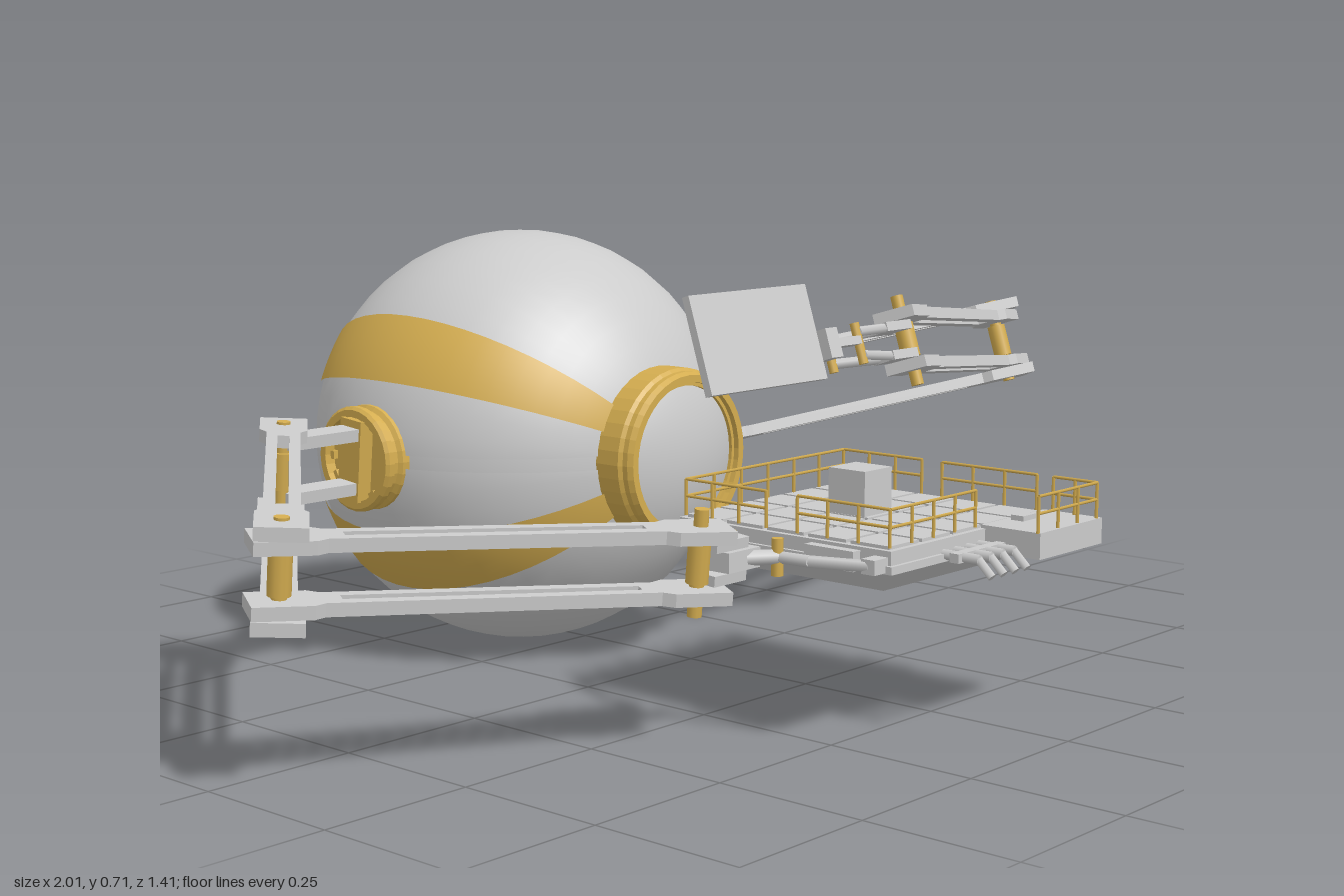
import * as THREE from 'three';

const grey = new THREE.MeshStandardMaterial({ color: 0xcccccc });
const gold = new THREE.MeshStandardMaterial({ color: 0xd4ad50 });
const V = (x, y, z) => new THREE.Vector3(x, y, z);
const R = 0.357, CX = -0.05, CY = 0.36, CZ = -0.353;

function add(parent, name, geo, mat, x = 0, y = 0, z = 0) {
  const m = new THREE.Mesh(geo, mat);
  m.name = name;
  m.position.set(x, y, z);
  parent.add(m);
  return m;
}
const box = (parent, name, mat, w, h, d, x, y, z) =>
  add(parent, name, new THREE.BoxGeometry(w, h, d), mat, x, y, z);

// round rod between two points
function rod(parent, name, mat, a, b, r, sides = 6) {
  const d = b.clone().sub(a);
  const m = add(parent, name, new THREE.CylinderGeometry(r, r, d.length(), sides), mat);
  m.position.copy(a).addScaledVector(d, 0.5);
  m.quaternion.setFromUnitVectors(V(0, 1, 0), d.normalize());
  return m;
}

// sphere wedge whose poles lie on the z axis
const wedge = (r, a0, a1, t0, t1, n) => new THREE.SphereGeometry(
  r, n, 24, a0, a1 - a0, t0, t1 - t0).rotateX(Math.PI / 2);

function makeHull() {
  const g = new THREE.Group();
  g.name = 'sphericalHull';
  g.position.set(CX, CY, CZ);
  // two half shells with a narrow seam between them
  for (const s of [1, -1]) {
    const geo = wedge(R, s > 0 ? Math.PI : 0, s > 0 ? 2 * Math.PI : Math.PI, 0, Math.PI, 24);
    const p = geo.attributes.position;
    for (let i = 0; i < p.count; i++) if (p.getY(i) * s < 0.011) p.setY(i, 0.011 * s);
    add(g, 'halfShell', geo, grey);
  }
  add(g, 'seamCore', wedge(R * 0.98, 0, 2 * Math.PI, 0, Math.PI, 48), grey);
  // tapering gold stripes
  const deg = Math.PI / 180;
  for (const c of [30, 150, 210, 330])
    add(g, 'goldStripe', wedge(R + 0.004, (c - 9.5) * deg, (c + 9.5) * deg, 0.3, 169.5 * deg, 8), gold);
  // front docking collar
  const flat = (pts, n) => {
    const geo = new THREE.LatheGeometry(pts.map(p => new THREE.Vector2(p[0], p[1])), n).toNonIndexed();
    geo.computeVertexNormals();
    return geo.rotateX(Math.PI / 2);
  };
  add(g, 'dockingCollar', flat([[0.13, 0.31], [0.146, 0.322], [0.146, 0.37], [0.141, 0.376],
    [0.141, 0.386], [0.136, 0.395], [0.124, 0.395], [0.124, 0.385], [0.118, 0.385], [0.118, 0.37]], 40), gold);
  add(g, 'dockingHatch', new THREE.SphereGeometry(0.3, 32, 6, 0, Math.PI * 2, 0, 0.41)
    .rotateX(Math.PI / 2), grey, 0, 0, 0.103);
  // shoulder sockets on both sides
  for (const s of [1, -1]) {
    const socket = flat([[0.087, 0.315], [0.087, 0.352], [0.08, 0.357], [0.08, 0.367], [0.087, 0.37],
      [0.087, 0.38], [0.082, 0.385], [0.07, 0.385], [0.07, 0.366], [0, 0.366]], 28);
    add(g, 'shoulderSocket', socket.rotateY(s * Math.PI / 2), gold);
    for (let i = 0; i < 12; i++) {
      const a = i * Math.PI / 6;
      const b = box(g, 'socketTooth', gold, 0.012, 0.014, 0.008,
        s * 0.369, 0.064 * Math.sin(a), 0.064 * Math.cos(a));
      b.rotation.x = -a;
    }
  }
  return g;
}

// slotted beam with widened lugs, lying flat from p to q ([x, z]) at height y
function beam(parent, name, p, q, y) {
  const dx = q[0] - p[0], dz = q[1] - p[1], L = Math.hypot(dx, dz);
  const w = 0.026, W = 0.037, e = 0.043, n = 0.06;
  const half = [[-e, W], [e, W], [n, w], [L - n, w], [L - e, W], [L + e, W]];
  const outline = [...half, ...half.map(([x, v]) => [x, -v]).reverse()];
  const shape = new THREE.Shape(outline.map(([x, v]) => new THREE.Vector2(x, v)));
  const slot = [[0.085, -0.009], [L - 0.085, -0.009], [L - 0.085, 0.009], [0.085, 0.009]];
  shape.holes.push(new THREE.Path(slot.map(([x, v]) => new THREE.Vector2(x, v))));
  const geo = new THREE.ExtrudeGeometry(shape, { depth: 0.02, bevelEnabled: false });
  geo.translate(0, 0, -0.01).rotateX(-Math.PI / 2).rotateY(-Math.atan2(dz, dx));
  add(parent, name, geo, grey, p[0], y, p[1]);
}

// jointed arm working in a tilted plane; joints are [x, z] in that plane
function makeArm(name, side, tilt, elbow, knee, wrist) {
  const g = new THREE.Group();
  g.name = name;
  g.position.set(0, CY, CZ);
  g.rotation.x = tilt;
  const inner = CX + side * 0.36, mid = (inner + elbow[0]) / 2;
  box(g, 'shoulderPivot', gold, 0.035, 0.135, 0.05, CX + side * 0.375, 0, 0);
  for (const s of [1, -1]) {
    box(g, 'shoulderPlate', grey, Math.abs(elbow[0] - inner), 0.02, 0.042, mid, s * 0.045, 0);
    beam(g, 'upperArmBeam', elbow, knee, s * 0.066);
    beam(g, 'forearmBeam', knee, wrist, s * 0.045);
    box(g, 'wristPlate', grey, 0.07, 0.016, 0.05, wrist[0] - side * 0.045, s * 0.025, wrist[1]);
  }
  for (const [x, z] of [elbow, knee, wrist]) {
    rod(g, 'jointPin', gold, V(x, -0.08, z), V(x, 0.08, z), 0.011, 12);
    rod(g, 'jointSpacer', gold, V(x, -0.03, z), V(x, 0.03, z), 0.017, 12);
  }
  return g;
}

function addPanelTool(arm, wrist) {
  const [x, z] = wrist;
  for (const s of [1, -1]) {
    rod(arm, 'panelLink', grey, V(x - 0.06, s * 0.025, z + 0.01), V(0.2, s * 0.02, z + 0.045), 0.009);
    rod(arm, 'panelLink', grey, V(x - 0.06, s * 0.025, z - 0.01), V(0.2, s * 0.02, z - 0.025), 0.009);
    box(arm, 'panelClamp', grey, 0.09, 0.014, 0.022, 0.15, 0.005, z + 0.01 + s * 0.033);
    rod(arm, 'clampPin', gold, V(0.2, -0.035, z + 0.01 + s * 0.033), V(0.2, 0.035, z + 0.01 + s * 0.033), 0.008, 8);
  }
  box(arm, 'clampBridge', grey, 0.03, 0.05, 0.09, 0.115, 0.005, z + 0.015);
  box(arm, 'panel', grey, 0.287, 0.16, 0.014, -0.044, 0.03, 0.57);
  box(arm, 'panelBacking', grey, 0.25, 0.125, 0.01, -0.044, 0.03, 0.56);
}

function makePlatform() {
  const g = new THREE.Group();
  g.name = 'workPlatform';
  const x0 = -0.25, x1 = 0.15, z0 = 0.2, z1 = 0.605, cx = -0.05, cz = 0.4025, top = 0.312;
  box(g, 'deckSlab', grey, 0.4, 0.022, z1 - z0, cx, top - 0.015, cz);
  box(g, 'deckRim', grey, 0.412, 0.012, z1 - z0 + 0.012, cx, 0.281, cz);
  // tapered underside
  const under = new THREE.BoxGeometry(0.4, 0.04, z1 - z0);
  const p = under.attributes.position;
  for (let i = 0; i < p.count; i++)
    if (p.getY(i) < 0) p.setXYZ(i, p.getX(i) * 0.76, p.getY(i), p.getZ(i) * 0.76);
  under.computeVertexNormals();
  add(g, 'taperedUnderside', under, grey, cx, 0.256, cz);
  // deck tiles
  const nx = 5, nz = 5, tx = 0.39 / nx, tz = 0.395 / nz;
  for (let i = 0; i < nx; i++) for (let j = 0; j < nz; j++)
    box(g, 'deckTile', grey, tx - 0.008, 0.006, tz - 0.008,
      x0 + 0.005 + tx * (i + 0.5), top - 0.002, z0 + 0.005 + tz * (j + 0.5));
  box(g, 'cabin', grey, 0.068, 0.072, 0.07, -0.05, 0.347, 0.395);
  // front extension with hatch and fork
  box(g, 'frontExtension', grey, 0.17, 0.04, 0.105, 0.07, 0.293, 0.65);
  box(g, 'extensionHatch', grey, 0.035, 0.008, 0.022, 0.065, 0.317, 0.62);
  for (let i = 0; i < 4; i++) {
    const x = -0.122 + i * 0.03;
    rod(g, 'forkTine', grey, V(x, 0.285, 0.6), V(x, 0.285, 0.67), 0.008);
    rod(g, 'forkTip', grey, V(x, 0.285, 0.668), V(x, 0.262, 0.692), 0.007);
  }
  box(g, 'forkBar', grey, 0.12, 0.014, 0.016, -0.077, 0.285, 0.635);
  for (const x of [x0 - 0.006, x1 + 0.006])
    box(g, 'sideBumper', grey, 0.022, 0.03, 0.09, x, 0.288, 0.505);
  // guard rails: each run is [xa, za, xb, zb, bays]
  const runs = [[x1, 0.21, x1, 0.37, 3], [x1, 0.41, x1, 0.59, 3], [x0, 0.21, x0, 0.37, 3],
    [x0, 0.43, x0, 0.6, 3], [x0, 0.21, x1, 0.21, 6], [x0, 0.6, -0.03, 0.6, 4],
    [0.15, 0.62, 0.15, 0.698, 2], [-0.01, 0.698, 0.15, 0.698, 3]];
  for (const [xa, za, xb, zb, n] of runs) {
    const inset = x => x + Math.sign(cx - x) * 0.004;
    const a = V(inset(xa), top, za), b = V(inset(xb), top, zb);
    for (let i = 0; i <= n; i++) {
      const q = a.clone().lerp(b, i / n);
      rod(g, 'railPost', gold, q, q.clone().setY(0.368), 0.0028, 5);
    }
    for (const y of [0.342, 0.368])
      rod(g, 'guardRail', gold, a.clone().setY(y), b.clone().setY(y), 0.0025, 5);
  }
  // yoke joining the platform to the arm
  for (const s of [1, -1]) {
    const bend = V(-0.305, 0.288, 0.4 + s * 0.1), end = V(-0.275, 0.288, 0.4 + s * 0.185);
    rod(g, 'yokeArm', grey, V(-0.35, 0.288, 0.395 + s * 0.02), V(-0.31, 0.288, 0.4 + s * 0.045), 0.012);
    rod(g, 'yokeArm', grey, V(-0.31, 0.288, 0.4 + s * 0.045), bend, 0.009);
    rod(g, 'yokeArm', grey, bend, end, 0.009);
    box(g, 'yokeFoot', grey, 0.04, 0.022, 0.024, -0.262, 0.288, 0.4 + s * 0.188);
    rod(g, 'yokePin', gold, V(-0.31, 0.26, 0.4 + s * 0.045), V(-0.31, 0.316, 0.4 + s * 0.045), 0.009, 8);
  }
  box(g, 'yokeBlock', grey, 0.07, 0.03, 0.06, -0.36, 0.288, 0.395);
  return g;
}

export function createModel() {
  const model = new THREE.Group();
  model.name = 'workPod';
  model.add(makeHull());
  const wrist = [0.39, 0.536];
  const leftArm = makeArm('leftArm', 1, -0.314, [0.475, -0.015], [0.95, 0.34], wrist);
  addPanelTool(leftArm, wrist);
  model.add(leftArm);
  model.add(makeArm('rightArm', -1, 0.096, [-0.58, 0], [-0.948, 0.46], [-0.42, 0.745]));
  model.add(makePlatform());
  return model;
}
